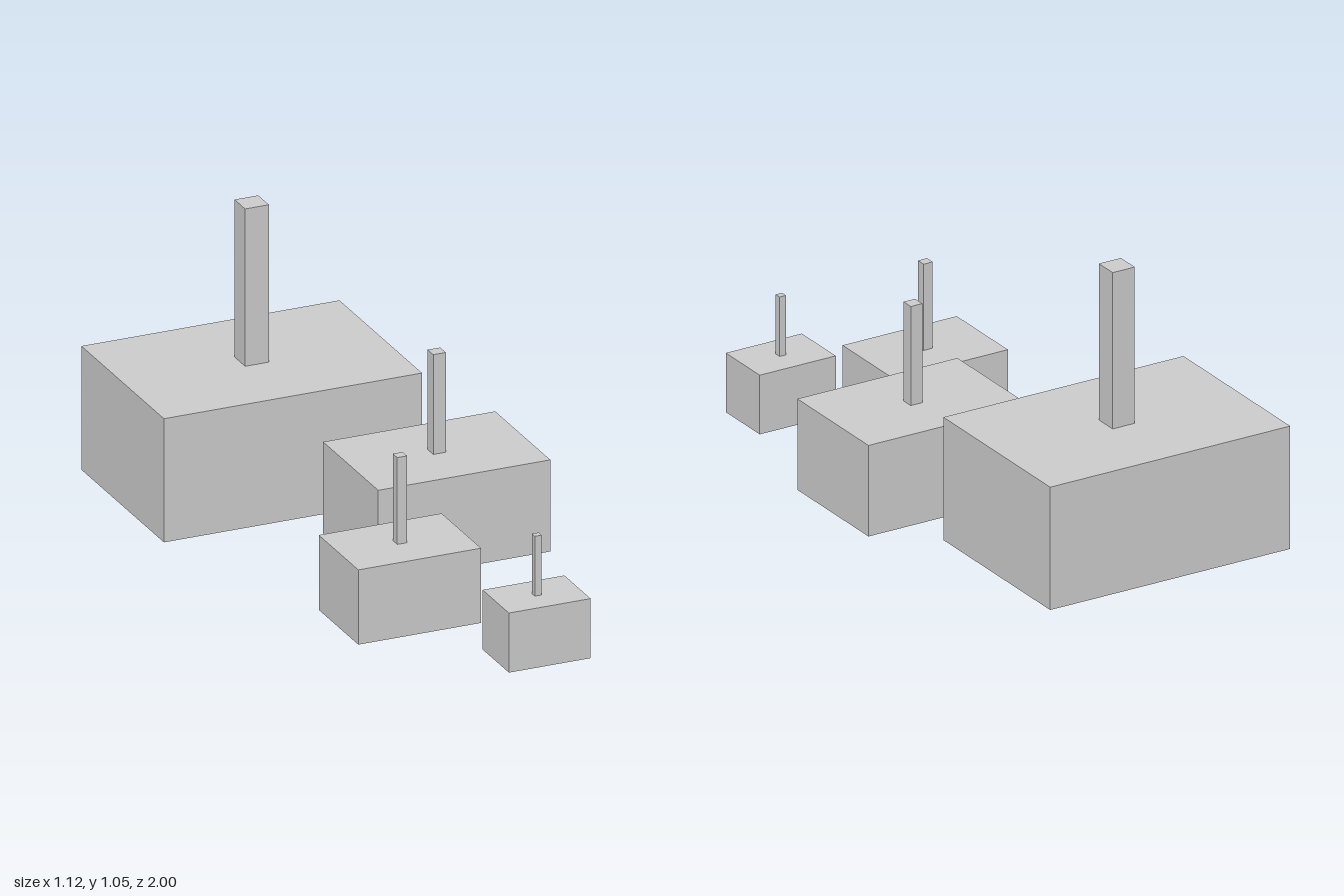
import * as THREE from 'three';

const material = new THREE.MeshStandardMaterial({ color: 0xcccccc, flatShading: true });

// Box standing on a given base height
function box(name, width, height, depth, baseY) {
  const mesh = new THREE.Mesh(new THREE.BoxGeometry(width, height, depth), material);
  mesh.name = name;
  mesh.position.y = baseY + height / 2;
  return mesh;
}

// Block with a slim square post centred on its top
function postedBlock({ name, x, z, base, size, post, top }) {
  const [width, height, depth] = size;
  const group = new THREE.Group();
  group.name = name;
  group.position.set(x, 0, z);
  const blockTop = base + height;
  group.add(
    box('block', width, height, depth, base),
    box('post', post, top - blockTop, post, blockTop)
  );
  return group;
}

export function createModel() {
  const model = new THREE.Group();
  model.name = 'postedBlocks';

  // Four blocks, shrinking from back to front
  const blocks = [
    { name: 'largestBlock', x: -0.099, z: -0.67, base: 0.05, size: [0.925, 0.44, 0.66], post: 0.085, top: 1.05 },
    { name: 'largeBlock', x: 0.25, z: 0.03, base: 0.052, size: [0.617, 0.326, 0.44], post: 0.045, top: 0.733 },
    { name: 'smallBlock', x: -0.099, z: 0.514, base: 0.04, size: [0.44, 0.266, 0.316], post: 0.035, top: 0.615 },
    { name: 'smallestBlock', x: 0.22, z: 0.895, base: 0, size: [0.293, 0.212, 0.21], post: 0.024, top: 0.425 },
  ];
  for (const spec of blocks) model.add(postedBlock(spec));

  return model;
}
